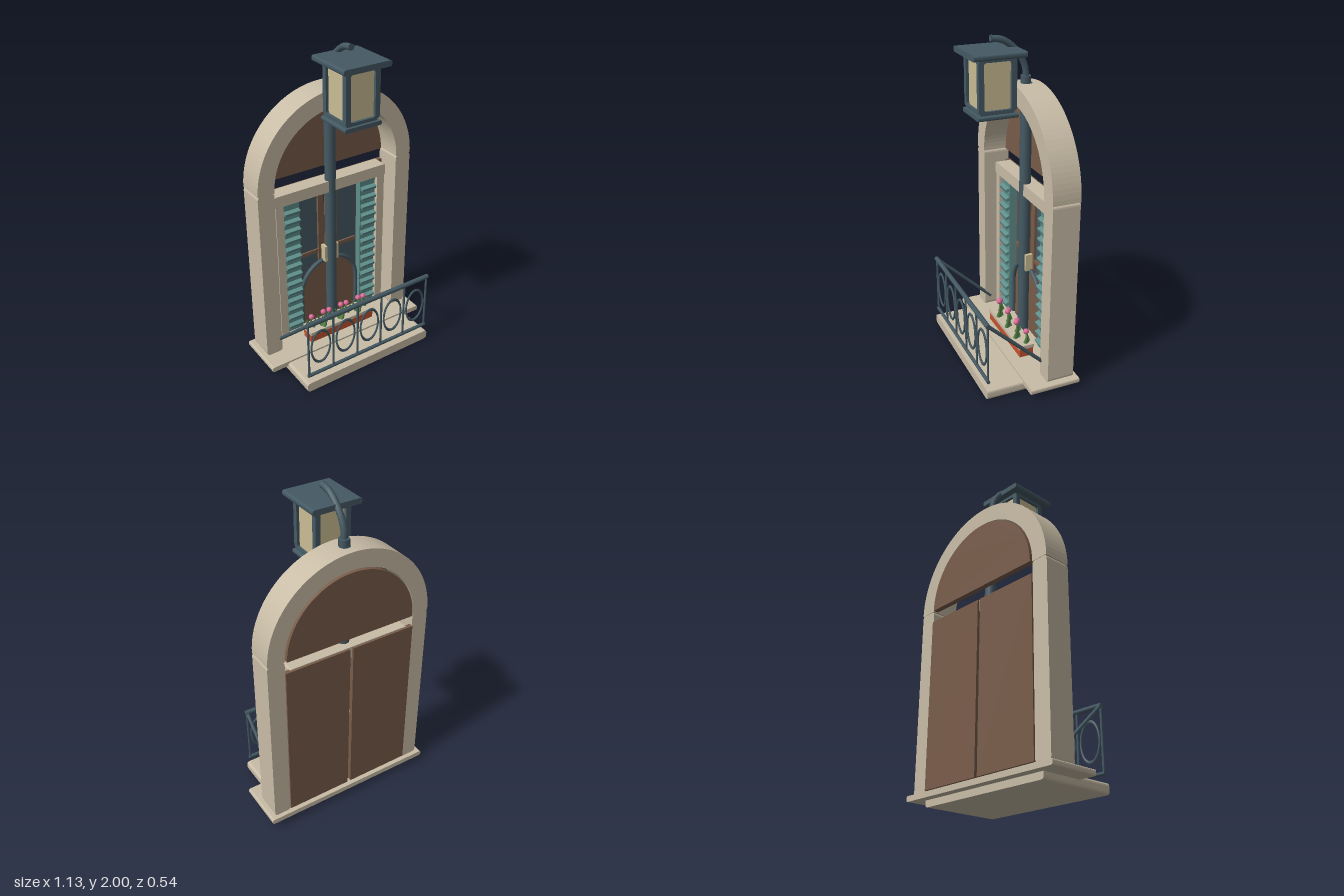
import * as THREE from 'three';

const mat = (name, color) => {
  const m = new THREE.MeshStandardMaterial({ color });
  m.name = name;
  return m;
};

export function createModel() {
  const stone = mat('stone', 0xc8bca6), wood = mat('wood', 0x795c4a), teal = mat('shutterTeal', 0x5f8f8c);
  const iron = mat('iron', 0x455a64), glow = mat('lampGlass', 0xcbbd94), clay = mat('terracotta', 0xc4532f);
  const leaf = mat('leafGreen', 0x5b8a4c), pink = mat('petalPink', 0xdd6a98);
  const root = new THREE.Group();
  root.name = 'balconyDoor';

  const add = (name, geo, m, parent = root) => {
    const mesh = new THREE.Mesh(geo, m);
    mesh.name = name;
    parent.add(mesh);
    return mesh;
  };
  const group = (name) => {
    const g = new THREE.Group();
    g.name = name;
    root.add(g);
    return g;
  };
  // box given by its limits
  const box = (name, m, x0, x1, y0, y1, z0, z1, parent) => {
    const mesh = add(name, new THREE.BoxGeometry(x1 - x0, y1 - y0, z1 - z0), m, parent);
    mesh.position.set((x0 + x1) / 2, (y0 + y1) / 2, (z0 + z1) / 2);
    return mesh;
  };
  // rounded rectangle outline
  const rounded = (x0, x1, y0, y1, r, shape = new THREE.Shape()) => {
    shape.moveTo(x0 + r, y0);
    shape.lineTo(x1 - r, y0).quadraticCurveTo(x1, y0, x1, y0 + r);
    shape.lineTo(x1, y1 - r).quadraticCurveTo(x1, y1, x1 - r, y1);
    shape.lineTo(x0 + r, y1).quadraticCurveTo(x0, y1, x0, y1 - r);
    shape.lineTo(x0, y0 + r).quadraticCurveTo(x0, y0, x0 + r, y0);
    return shape;
  };
  const extrude = (name, m, shape, z0, z1, parent, curveSegments = 4) => {
    const geo = new THREE.ExtrudeGeometry(shape, { depth: z1 - z0, bevelEnabled: false, curveSegments });
    const mesh = add(name, geo, m, parent);
    mesh.position.z = z0;
    return mesh;
  };
  const slab = (name, m, x0, x1, y0, y1, z0, z1, r, parent) =>
    extrude(name, m, rounded(x0, x1, y0, y1, r), z0, z1, parent);
  const rod = (name, m, a, b, r, parent, sides = 8) => {
    const p = new THREE.Vector3(...a), q = new THREE.Vector3(...b);
    const mesh = add(name, new THREE.CylinderGeometry(r, r, p.distanceTo(q), sides), m, parent);
    mesh.position.copy(p).add(q).multiplyScalar(0.5);
    mesh.quaternion.setFromUnitVectors(new THREE.Vector3(0, 1, 0), q.sub(p).normalize());
    return mesh;
  };

  // base
  slab('balconySlab', stone, -0.455, 0.455, 0, 0.062, -0.22, 0.268, 0.02);
  slab('threshold', stone, -0.563, 0.563, 0.04, 0.073, -0.272, 0.038, 0.012);

  // stone surround
  for (const s of [-1, 1]) {
    const x = s * 0.478;
    slab('pillar', stone, x - 0.053, x + 0.053, 0.073, 1.19, -0.245, -0.08, 0.02);
  }
  const arch = new THREE.Shape();
  arch.absarc(0, 1.19, 0.53, 0, Math.PI, false);
  arch.absarc(0, 1.19, 0.425, Math.PI, 0, true);
  extrude('arch', stone, arch, -0.247, -0.078, root, 28);
  const half = new THREE.Shape();
  half.absarc(0, 1.19, 0.416, 0, Math.PI, false);
  extrude('archPanel', wood, half, -0.256, -0.222, root, 28);

  // inner frame, door leaves and shutters
  slab('lintel', stone, -0.393, 0.393, 1.047, 1.12, -0.24, -0.143, 0.012);
  for (const s of [-1, 1]) {
    const side = group(s > 0 ? 'leftDoor' : 'rightDoor');
    const span = (name, m, a, b, ...rest) =>
      box(name, m, Math.min(s * a, s * b), Math.max(s * a, s * b), ...rest, side);
    span('backPanel', wood, 0.01, 0.424, 0.085, 1.115, -0.253, -0.225);
    span('jamb', stone, 0.335, 0.387, 0.1, 1.05, -0.225, -0.145);
    span('windowPane', iron, 0.065, 0.22, 0.12, 1.05, -0.224, -0.215);
    span('doorStile', wood, 0.03, 0.068, 0.1, 1.05, -0.224, -0.2);
    span('doorRail', wood, 0.065, 0.21, 0.605, 0.63, -0.216, -0.203);
    span('handle', glow, 0.03, 0.05, 0.55, 0.66, -0.2, -0.155);
    span('shutterPanel', teal, 0.22, 0.331, 0.115, 1.047, -0.21, -0.165);
    for (let i = 0; i < 14; i++) {
      const y = 0.155 + i * 0.063;
      const slat = span('louver', teal, 0.224, 0.327, y, y + 0.02, -0.175, -0.142);
      slat.rotation.x = 0.35;
    }
  }

  // arched lower panel with its iron hoop
  const lower = new THREE.Shape();
  lower.moveTo(-0.2, 0.1);
  lower.lineTo(0.2, 0.1);
  lower.lineTo(0.2, 0.35);
  lower.absarc(0, 0.35, 0.2, 0, Math.PI, false);
  extrude('lowerDoorPanel', wood, lower, -0.215, -0.2, root, 16);
  const hoop = [[-0.205, 0.12], [-0.205, 0.35]];
  for (let i = 1; i < 12; i++) {
    const a = Math.PI * (1 - i / 12);
    hoop.push([0.205 * Math.cos(a), 0.35 + 0.205 * Math.sin(a)]);
  }
  hoop.push([0.205, 0.35], [0.205, 0.12]);
  const hoopPath = new THREE.CatmullRomCurve3(hoop.map(([x, y]) => new THREE.Vector3(x, y, -0.19)));
  add('ironHoop', new THREE.TubeGeometry(hoopPath, 36, 0.013, 8), iron);

  // lamp post and bracket
  rod('lampPost', iron, [0, 0.075, -0.165], [0, 1.72, -0.165], 0.034, root, 12);
  rod('postCollar', iron, [0, 1.71, -0.16], [0, 1.762, -0.16], 0.032, root, 8);
  const arm = new THREE.CatmullRomCurve3([
    [1.75, -0.162], [1.81, -0.155], [1.88, -0.122], [1.94, -0.065], [1.972, -0.01], [1.981, 0.052],
  ].map(([y, z]) => new THREE.Vector3(0, y, z)));
  add('lampArm', new THREE.TubeGeometry(arm, 12, 0.019, 8), iron);
  const cap = add('armEnd', new THREE.CircleGeometry(0.019, 8), iron);
  cap.position.set(0, 1.981, 0.052);

  // lantern
  const lantern = group('lantern');
  lantern.position.z = 0.053;
  slab('roof', iron, -0.152, 0.152, 1.895, 1.928, -0.153, 0.153, 0.014, lantern);
  slab('bottomPlate', iron, -0.12, 0.12, 1.562, 1.587, -0.118, 0.118, 0.01, lantern);
  box('bottomStep', iron, -0.1, 0.1, 1.585, 1.605, -0.1, 0.1, lantern);
  box('glass', glow, -0.094, 0.094, 1.605, 1.89, -0.094, 0.094, lantern);
  for (let i = 0; i < 4; i++) {
    const frame = rounded(-0.111, 0.111, 1.6, 1.897, 0.025);
    frame.holes.push(rounded(-0.08, 0.08, 1.612, 1.877, 0.015, new THREE.Path()));
    const holder = new THREE.Group();
    holder.name = 'lanternSide';
    holder.rotation.y = i * Math.PI / 2;
    lantern.add(holder);
    extrude('frame', iron, frame, 0.092, 0.111, holder);
  }

  // railing
  const railing = group('railing');
  const zr = 0.255;
  rod('topRail', iron, [-0.443, 0.487, zr], [0.443, 0.487, zr], 0.015, railing);
  rod('bottomRail', iron, [-0.443, 0.113, zr], [0.443, 0.113, zr], 0.011, railing);
  for (const s of [-1, 1]) {
    rod('sideRail', iron, [s * 0.432, 0.487, zr], [s * 0.432, 0.13, -0.12], 0.011, railing);
  }
  for (const x of [-0.435, -0.2625, -0.0875, 0.0875, 0.2625, 0.435]) {
    rod('baluster', iron, [x, 0.113, zr], [x, 0.487, zr], 0.007, railing);
  }
  for (let i = -2; i <= 2; i++) {
    const ring = add('ovalRing', new THREE.TorusGeometry(0.066, 0.006, 6, 28), iron, railing);
    ring.scale.y = 1.72;
    ring.position.set(i * 0.175, 0.3, zr);
  }

  // planter with flowers
  const planter = group('planter');
  box('trough', clay, -0.238, 0.238, 0.073, 0.13, -0.125, -0.036, planter);
  box('rim', stone, -0.242, 0.242, 0.128, 0.15, -0.13, -0.03, planter);
  for (let i = 0; i < 7; i++) {
    const x = -0.2 + i / 15;
    const z = -0.08 + (i % 2 ? 0.018 : -0.018);
    const h = 0.07 + 0.035 * (i % 2);
    for (let k = -1; k <= 1; k++) {
      const blade = add('leaf', new THREE.ConeGeometry(0.017, h, 5), leaf, planter);
      blade.position.set(x + k * 0.02, 0.145 + h / 2, z + 0.01 * k);
      blade.rotation.z = -k * 0.35;
    }
    const bloom = add('flower', new THREE.IcosahedronGeometry(0.018, 1), pink, planter);
    bloom.position.set(x, 0.155 + h, z + 0.005);
  }
  return root;
}
